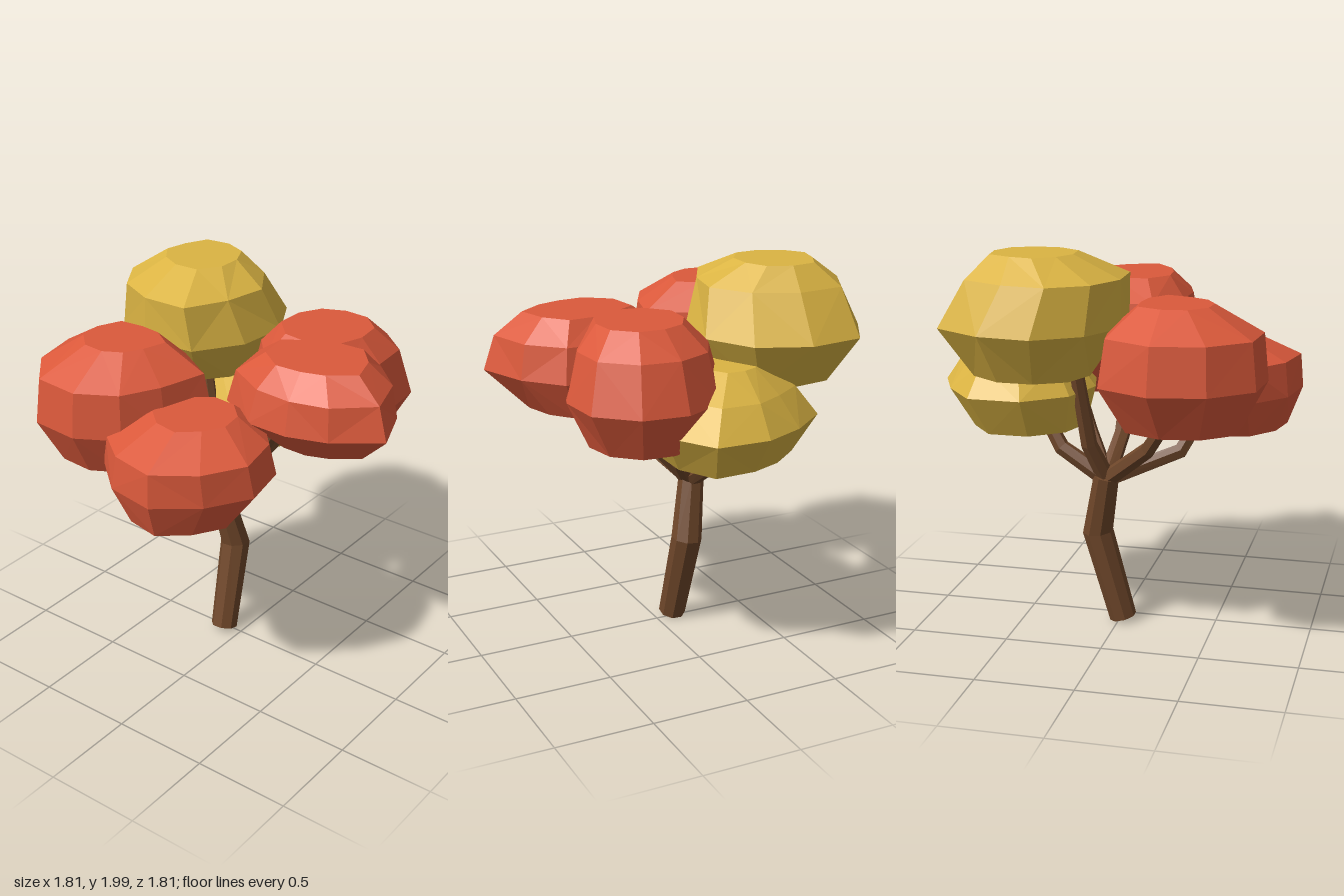
import * as THREE from 'three';

const material = (name, color) => {
  const m = new THREE.MeshStandardMaterial({ color });
  m.name = name;
  return m;
};

// Closed faceted surface through a stack of rings, listed from bottom to top
function loft(rings) {
  const out = [];
  const tri = (a, b, c) => [a, b, c].forEach(p => out.push(p.x, p.y, p.z));
  const middle = ring => ring.reduce((s, p) => s.add(p), new THREE.Vector3()).divideScalar(ring.length);
  const n = rings[0].length;
  const bottom = rings[0], top = rings[rings.length - 1];
  const low = middle(bottom), high = middle(top);
  for (let j = 0; j < n; j++) {
    const k = (j + 1) % n;
    for (let i = 0; i < rings.length - 1; i++) {
      const a = rings[i][j], b = rings[i][k], c = rings[i + 1][j], d = rings[i + 1][k];
      if ((i + j) % 2) { tri(a, c, b); tri(b, c, d); }
      else { tri(a, c, d); tri(a, d, b); }
    }
    tri(low, bottom[j], bottom[k]);
    tri(high, top[k], top[j]);
  }
  const g = new THREE.BufferGeometry();
  g.setAttribute('position', new THREE.Float32BufferAttribute(out, 3));
  g.computeVertexNormals();
  return g;
}

// Bent, tapering limb
function limb(path, radii, sides) {
  const pts = path.map(p => new THREE.Vector3(...p));
  const up = new THREE.Vector3(0, 1, 0);
  return loft(pts.map((p, i) => {
    const before = pts[Math.max(i - 1, 0)], after = pts[Math.min(i + 1, pts.length - 1)];
    const q = new THREE.Quaternion().setFromUnitVectors(up, after.clone().sub(before).normalize());
    return Array.from({ length: sides }, (_, j) => {
      const a = (j + 0.5) / sides * Math.PI * 2;
      return new THREE.Vector3(Math.cos(a) * radii[i], 0, Math.sin(a) * radii[i]).applyQuaternion(q).add(p);
    });
  }));
}

// Leaf clump: a lumpy ring (radii at equal angles from a start angle in degrees),
// repeated at four heights, each with its own scale and sideways shift
function clump([cx, cz], start, radii, heights, scales, shifts, seed) {
  let s = seed;
  const random = () => (s = (s * 16807) % 2147483647) / 2147483647;
  return loft(heights.map((y, level) => radii.map((radius, j) => {
    const a = THREE.MathUtils.degToRad(start) + j / radii.length * Math.PI * 2;
    const r = radius * scales[level] * (level === 1 ? 1 : 0.96 + 0.08 * random());
    return new THREE.Vector3(cx + shifts[level] + Math.cos(a) * r, y, cz + Math.sin(a) * r);
  })));
}

export function createModel() {
  const tree = new THREE.Group();
  tree.name = 'autumnTree';
  const bark = material('bark brown', 0x6f472a);
  const red = material('leaf red', 0xdb593b);
  const yellow = material('leaf yellow', 0xdbb443);
  const add = (name, mat, geometry) => {
    const mesh = new THREE.Mesh(geometry, mat);
    mesh.name = name;
    tree.add(mesh);
  };

  // Crooked trunk
  add('trunk', bark, limb([[-.02, .025, -.1], [.11, .5, -.12], [.05, .82, -.175]], [.071, .08, .066], 8));

  // Branches fan out from the trunk top: elbow and tip of each
  const branches = [
    [[-.31, .94, -.05], [-.43, 1.16, .04]],
    [[-.19, 1, -.28], [-.35, 1.25, -.38]],
    [[.01, 1, .01], [.02, 1.38, .24]],
    [[.18, 1.02, -.02], [.29, 1.24, .13]],
    [[.12, 1, -.25], [.17, 1.5, -.36]],
    [[.29, .95, -.16], [.42, 1.15, -.11]],
  ];
  branches.forEach(([elbow, tip], i) =>
    add(`branch${i + 1}`, bark, limb([[.05, .8, -.17], elbow, tip], [.047, .042, .034], 6)));

  // Red leaf clumps
  add('backRightLeaves', red, clump([-.41, -.45], -78,
    [.45, .474, .38, .39, .48, .37, .37, .395, .43, .425],
    [1.19, 1.42, 1.65, 1.78], [.7, 1, .92, .46], [0, 0, 0, .04], 101));
  add('rightLeaves', red, clump([-.48, .06], 25,
    [.425, .415, .42, .39, .432, .42, .43, .42, .385, .41],
    [1.08, 1.27, 1.44, 1.55], [.69, 1, .93, .48], [-.06, 0, -.02, .04], 138));
  add('frontLeaves', red, clump([.03, .45], 102.5,
    [.461, .35, .33, .375, .46, .47, .34, .325, .38, .385],
    [1.31, 1.5, 1.67, 1.78], [.6, 1, .91, .6], [.06, 0, 0, 0], 175));
  add('leftFrontLeaves', red, clump([.43, .27], 63,
    [.402, .385, .41, .45, .45, .43, .385, .37, .37, .385],
    [1.19, 1.42, 1.66, 1.78], [.7, 1, .86, .56], [0, 0, -.02, -.05], 212));

  // Yellow leaf clumps
  add('topBackLeaves', yellow, clump([.32, -.49], 257,
    [.432, .425, .477, .45, .455, .445, .44, .475, .435, .42],
    [1.42, 1.66, 1.89, 2], [.66, 1, .83, .45], [0, 0, -.07, 0], 249));
  add('leftLeaves', yellow, clump([.52, -.15], 0,
    [.385, .465, .445, .44, .43, .41, .42, .435, .43, .36],
    [1.08, 1.28, 1.43, 1.55], [.77, 1, .72, .34], [-.04, 0, 0, 0], 286));

  return tree;
}
